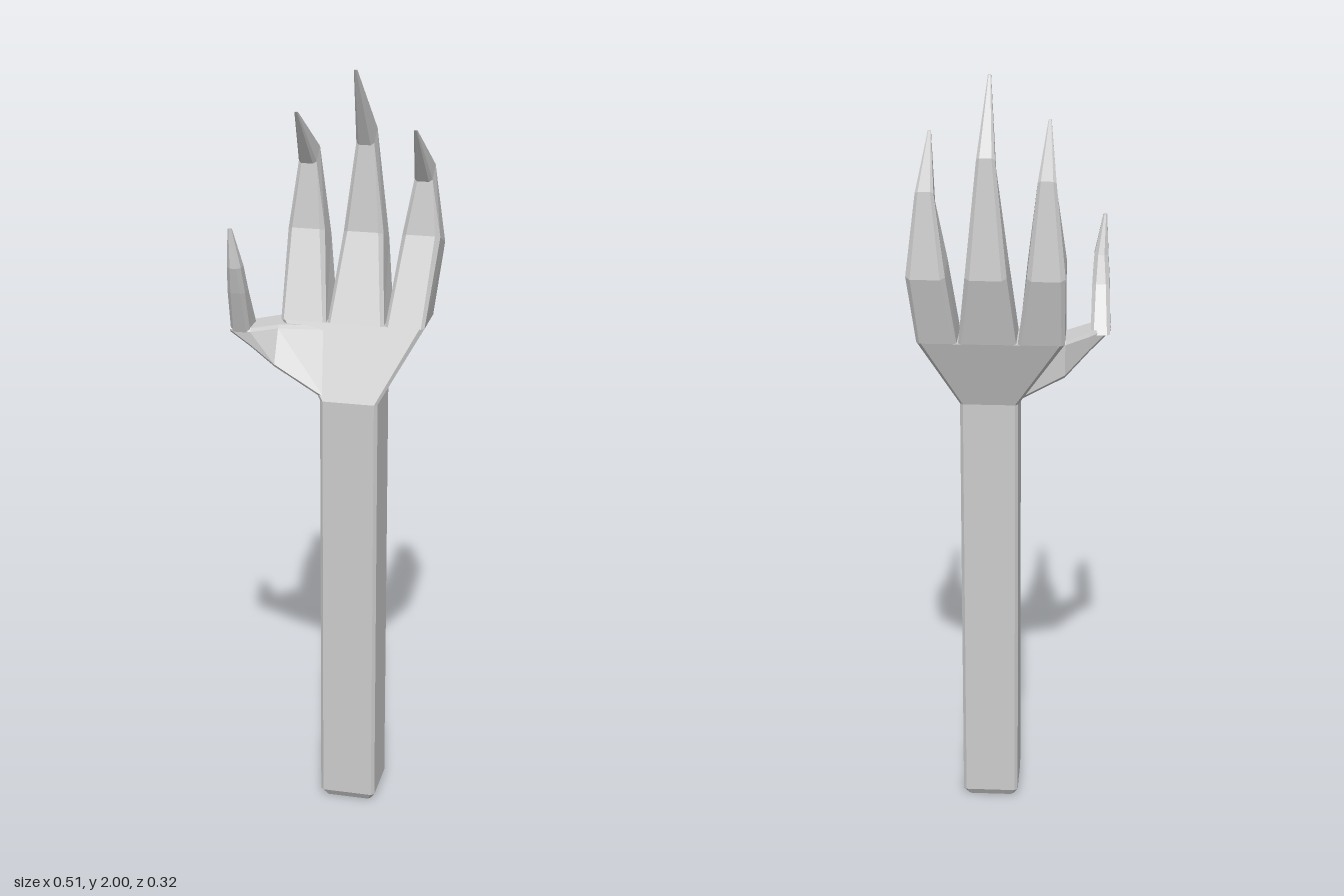
import * as THREE from 'three';

const material = new THREE.MeshStandardMaterial({ color: 0xcccccc, flatShading: true });

// Ring of 8 points: a quad with bevelled corners.
// Section: t along the loft, a0..a1 by b0..b1 across it, bevel width,
// dt = shift of the b1 side along the loft, db = shift of the (a1, b1) corner in b.
function ring({ t, a, b, bevel = 0.008, dt = 0, db = 0 }, place) {
  const corners = [
    place(a[0], b[0], t), place(a[1], b[0], t),
    place(a[1], b[1] + db, t + dt), place(a[0], b[1], t + dt),
  ];
  const points = [];
  corners.forEach((c, i) => {
    for (const n of [corners[(i + 3) % 4], corners[(i + 1) % 4]]) {
      points.push(c.clone().lerp(n, Math.min(0.45, bevel / c.distanceTo(n))));
    }
  });
  return points;
}

function loft(name, sections, place = (a, b, t) => new THREE.Vector3(a, t, b)) {
  const rings = sections.map((s) => ring(s, place));
  const pos = [];
  const tri = (...pts) => pts.forEach((p) => pos.push(p.x, p.y, p.z));
  for (let r = 0; r < rings.length - 1; r++) {
    const lo = rings[r], hi = rings[r + 1];
    for (let i = 0; i < 8; i++) {
      const j = (i + 1) % 8;
      tri(lo[i], hi[i], lo[j]);
      tri(lo[j], hi[i], hi[j]);
    }
  }
  // End caps
  const first = rings[0], last = rings[rings.length - 1];
  for (let i = 1; i < 7; i++) {
    tri(first[0], first[i], first[i + 1]);
    tri(last[0], last[i + 1], last[i]);
  }
  const geometry = new THREE.BufferGeometry();
  geometry.setAttribute('position', new THREE.Float32BufferAttribute(pos, 3));
  geometry.computeVertexNormals();
  const mesh = new THREE.Mesh(geometry, material);
  mesh.name = name;
  return mesh;
}

// Clawed finger: wide base, knuckle bend, then a talon hooking forward
function finger(name, base, middle, x, bendY, tipY) {
  return loft(name, [
    { t: 1.35, a: base, b: [-0.115, 0.022] },
    { t: 1.53, a: middle, b: [-0.16, -0.065], bevel: 0.012, dt: 0.04 },
    { t: bendY, a: [x - 0.023, x + 0.023], b: [-0.135, -0.083], dt: -0.04 },
    { t: tipY, a: [x - 0.004, x + 0.004], b: [0.022, 0.03], bevel: 0.002 },
  ]);
}

export function createModel() {
  const group = new THREE.Group();
  group.name = 'clawHandStaff';

  // Square shaft with bevelled edges and foot
  group.add(loft('shaft', [
    { t: 0, a: [-0.008, 0.118], b: [-0.038, 0.088] },
    { t: 0.02, a: [-0.02, 0.13], b: [-0.05, 0.1] },
    { t: 1.165, a: [-0.02, 0.13], b: [-0.05, 0.1] },
  ]));

  // Palm flaring out and leaning back
  group.add(loft('palm', [
    { t: 1.165, a: [-0.02, 0.13], b: [-0.05, 0.1] },
    { t: 1.35, a: [-0.14, 0.233], b: [-0.115, 0.022], bevel: 0.012 },
  ]));

  // Three fingers
  group.add(
    finger('outerFinger', [0.132, 0.233], [0.155, 0.253], 0.205, 1.745, 1.86),
    finger('middleFinger', [-0.018, 0.128], [0.003, 0.107], 0.055, 1.83, 2.0),
    finger('innerFinger', [-0.14, -0.022], [-0.142, -0.046], -0.094, 1.775, 1.89),
  );

  // Thumb root sweeping sideways out of the palm
  group.add(loft('thumbRoot', [
    { t: -0.01, a: [1.168, 1.34], b: [-0.045, 0.098], db: -0.075 },
    { t: -0.14, a: [1.245, 1.342], b: [-0.06, 0.096], db: -0.05 },
    { t: -0.2, a: [1.295, 1.345], b: [0.0, 0.1] },
    { t: -0.253, a: [1.332, 1.35], b: [0.06, 0.1] },
  ], (a, b, t) => new THREE.Vector3(t, a, b)));

  // Thumb claw
  group.add(loft('thumbClaw', [
    { t: 1.335, a: [-0.252, -0.202], b: [0.02, 0.1] },
    { t: 1.45, a: [-0.248, -0.203], b: [0.088, 0.14], bevel: 0.01 },
    { t: 1.52, a: [-0.243, -0.207], b: [0.115, 0.16], bevel: 0.01 },
    { t: 1.62, a: [-0.238, -0.228], b: [0.147, 0.157], bevel: 0.003 },
  ]));

  return group;
}
